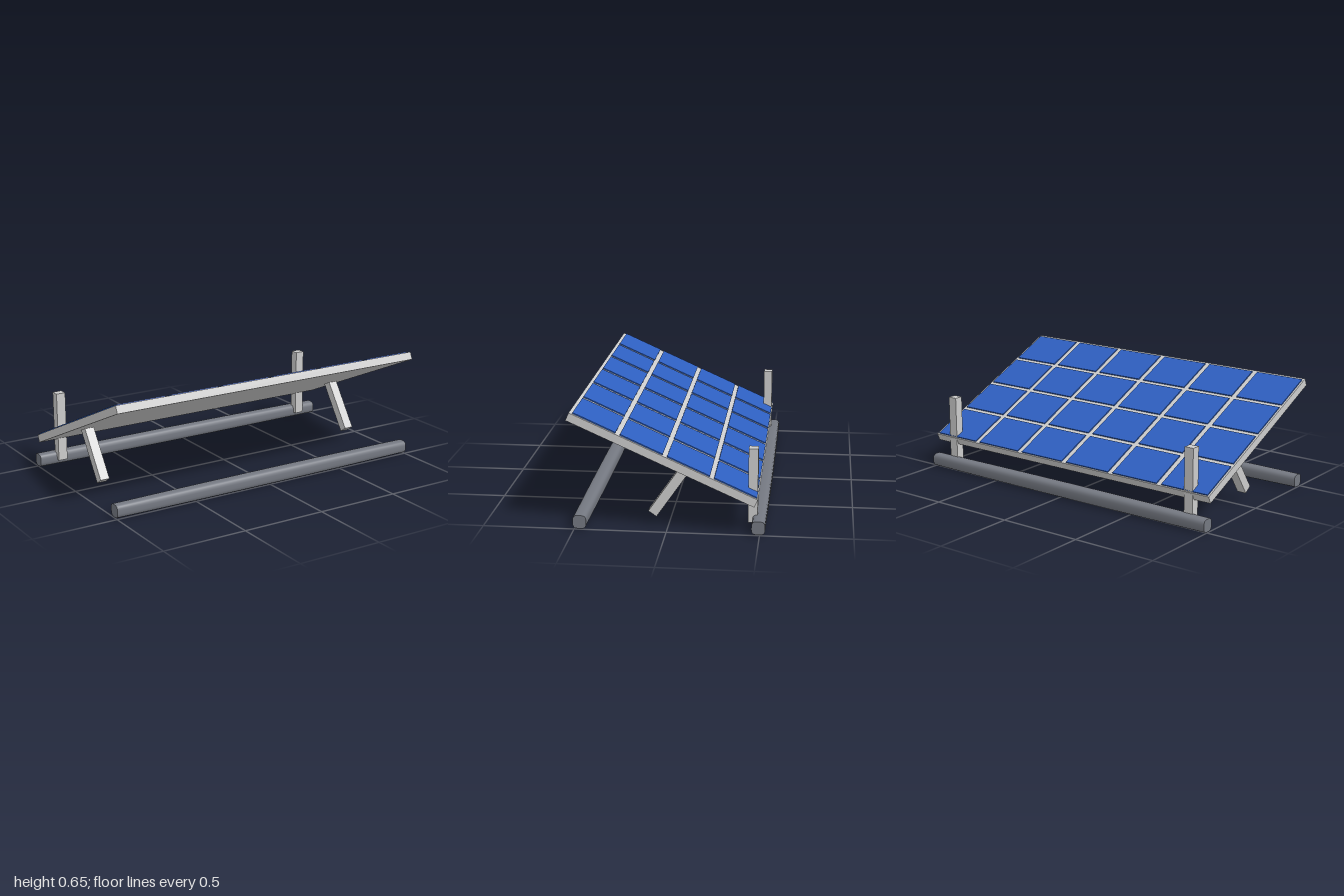
import * as THREE from 'three';

const TILT = -0.421; // panel slope: the front edge is raised
const LEAN = -0.604; // leg lean towards the back

export function createModel() {
  const model = new THREE.Group();
  const frameMat = new THREE.MeshStandardMaterial({ color: 0xcccccc });
  const railMat = new THREE.MeshStandardMaterial({ color: 0x747881 });
  const cellMat = new THREE.MeshStandardMaterial({ color: 0x2e5fc0 });

  const box = (parent, name, w, h, d, x, y, z, mat = frameMat) => {
    const mesh = new THREE.Mesh(new THREE.BoxGeometry(w, h, d), mat);
    mesh.name = name;
    mesh.position.set(x, y, z);
    parent.add(mesh);
    return mesh;
  };

  // Tilted panel with a 6 x 4 grid of cells
  const panel = new THREE.Group();
  panel.name = 'solarPanel';
  panel.position.set(0, 0.404, 0.0225);
  panel.rotation.x = TILT;
  model.add(panel);
  box(panel, 'panelFrame', 2, 0.046, 1.1, 0, 0, 0);
  for (let col = 0; col < 6; col++) {
    for (let row = 0; row < 4; row++) {
      box(panel, 'solarCell', 0.302, 0.01, 0.25,
        (col - 2.5) * 0.3345 - 0.002, 0.0245, (row - 1.5) * 0.275 - 0.005, cellMat);
    }
  }

  // Upright posts at the back and leaning legs under the panel
  for (const side of [-1, 1]) {
    box(model, 'backPost', 0.056, 0.415, 0.052, side * 0.866, 0.2425, -0.458);
    const leg = box(model, 'supportLeg', 0.056, 0.34, 0.054, side * 0.866, 0.205, -0.0095);
    leg.rotation.x = LEAN;
  }

  // Ground rails: rounded-square section, slimming slightly towards the ends
  const railGeo = new THREE.CylinderGeometry(1, 1, 2, 24, 10);
  railGeo.rotateZ(Math.PI / 2);
  const pos = railGeo.attributes.position;
  for (let i = 0; i < pos.count; i++) {
    const x = pos.getX(i), y = pos.getY(i), z = pos.getZ(i);
    const r = Math.hypot(y, z);
    const n = 3.5;
    const norm = Math.pow(Math.abs(y) ** n + Math.abs(z) ** n, 1 / n);
    const s = norm > 1e-6 ? (0.041 * (1 - 0.1 * x * x) * r) / norm : 0;
    pos.setXYZ(i, x, y * s, z * s);
  }
  railGeo.computeVertexNormals();
  for (const [name, z] of [['frontRail', 0.471], ['backRail', -0.493]]) {
    const rail = new THREE.Mesh(railGeo, railMat);
    rail.name = name;
    rail.position.set(0, 0.041, z);
    model.add(rail);
  }

  return model;
}
